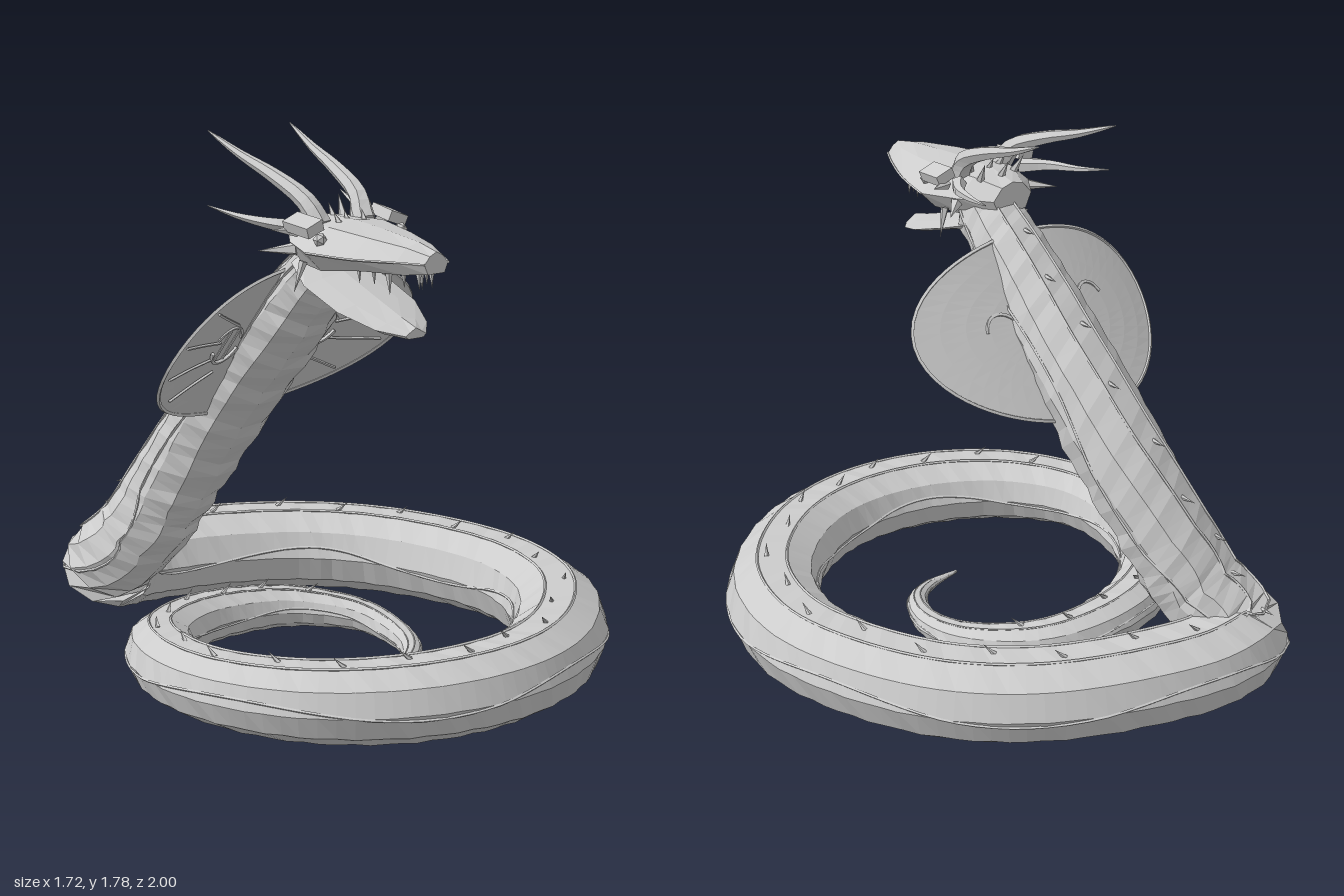
import * as THREE from 'three';

const V = (x, y, z) => new THREE.Vector3(x, y, z);

// Skin a list of equal rings (counter-clockwise seen from the end) and cap both ends
function loft(rings) {
  const n = rings[0].length, pos = rings.flat().flatMap(p => [p.x, p.y, p.z]), idx = [];
  const last = (rings.length - 1) * n;
  for (let i = 0; i < rings.length - 1; i++) {
    for (let j = 0; j < n; j++) {
      const a = i * n + j, b = i * n + (j + 1) % n;
      idx.push(a, b, b + n, a, b + n, a + n);
    }
  }
  for (let j = 1; j < n - 1; j++) idx.push(0, j + 1, j, last, last + j, last + j + 1);
  const g = new THREE.BufferGeometry();
  g.setAttribute('position', new THREE.Float32BufferAttribute(pos, 3));
  g.setIndex(idx);
  g.computeVertexNormals();
  return g;
}

function frameAt(curve, t) {
  const P = curve.getPoint(t), T = curve.getTangent(t);
  const N = V(0, 1, 0).addScaledVector(T, -T.y).normalize();
  return { P, T, N, S: N.clone().cross(T) };
}

// Tapering tube along a curve
function sweep(points, steps, sides, radius) {
  const curve = new THREE.CatmullRomCurve3(points), rings = [];
  for (let i = 0; i <= steps; i++) {
    const t = i / steps, { P, S, N } = frameAt(curve, t), r = radius(t);
    rings.push(Array.from({ length: sides }, (_, j) => {
      const a = j / sides * Math.PI * 2;
      return P.clone().addScaledVector(S, Math.cos(a) * r).addScaledVector(N, Math.sin(a) * r);
    }));
  }
  return loft(rings);
}

// Serpent path from tail tip to nape: x, y, z, radius
const PATH = [
  [-.17, .035, .34, .006], [-.04, .035, .36, .02], [.09, .045, .32, .033], [.19, .05, .2, .047],
  [.23, .07, .01, .058], [.13, .085, -.21, .075], [-.06, .095, -.32, .088], [-.27, .105, -.345, .097],
  [-.5, .115, -.27, .11], [-.67, .13, -.06, .12], [-.73, .14, .18, .125], [-.66, .14, .45, .135],
  [-.48, .14, .67, .143], [-.25, .14, .8, .148], [-.02, .14, .84, .15], [.23, .14, .79, .155],
  [.49, .145, .63, .16], [.65, .15, .38, .16], [.69, .155, .1, .162], [.64, .16, -.22, .163],
  [.5, .165, -.47, .164], [.25, .17, -.69, .166], [.02, .172, -.81, .168], [-.13, .195, -.82, .17],
  [-.115, .34, -.68, .163], [-.09, .51, -.57, .16], [-.08, .72, -.42, .158], [-.105, .95, -.23, .15],
  [-.15, 1.15, -.04, .14], [-.19, 1.32, .12, .12], [-.23, 1.44, .25, .1],
];
const SPINE = new THREE.CatmullRomCurve3(PATH.map(p => V(p[0], p[1], p[2])));
const NECK = 24 / 30, STEPS = 180, FACE = Math.PI / 5;

// Point on the ten-sided skin at path position t and angle a
function skin(t, a, lift = 0) {
  const f = t * (PATH.length - 1), i = Math.min(Math.floor(f), PATH.length - 2);
  const off = a - (Math.floor(a / FACE) + .5) * FACE;
  const r = THREE.MathUtils.lerp(PATH[i][3], PATH[i + 1][3], f - i) * .97 / Math.cos(off) + lift;
  const { P, S, N } = frameAt(SPINE, t);
  return P.addScaledVector(S, Math.cos(a) * r).addScaledVector(N, Math.sin(a) * r * .9);
}

// Point on the forward-curling oval hood, u across and v up
const hoodPoint = (u, v, lift = 0) => V(-.165 + .485 * u, 1.11 + .27 * v, -.085 + .1 * u + .19 * v + .105 * u * u + lift);

export function createModel() {
  const model = new THREE.Group();
  model.name = 'hornedSerpent';
  const grey = new THREE.MeshStandardMaterial({ color: 0xcccccc, flatShading: true, side: THREE.DoubleSide });
  grey.name = 'paleGrey';
  const add = (parent, name, geo) => {
    const o = new THREE.Mesh(geo, grey);
    o.name = name;
    parent.add(o);
    return o;
  };
  const spike = (parent, name, base, dir, r, h) => {
    const o = add(parent, name, new THREE.ConeGeometry(r, h, 5));
    dir.normalize();
    o.quaternion.setFromUnitVectors(V(0, 1, 0), dir);
    o.position.copy(base).addScaledVector(dir, h / 2);
  };

  // Coiled body and raised neck, with stepped belly plates on the neck
  const rings = [];
  for (let i = 0; i <= STEPS; i++) {
    const t = i / STEPS;
    rings.push(Array.from({ length: 10 }, (_, j) => {
      const belly = t > NECK && j > 5 ? (i % 4) * .004 : 0;
      return skin(t, j * FACE, belly + .0025 * Math.sin(i * 2.3 + j * 4.1) * Math.min(1, t * 6));
    }));
  }
  add(model, 'body', loft(rings));

  // Paired back stripes and wavy flank stripes
  const stripe = (name, angle, wave) => {
    const pts = [];
    for (let i = 6; i <= STEPS; i++) {
      const t = i / STEPS;
      pts.push(skin(t, angle + wave * Math.sin(t * 50), .002));
    }
    add(model, name, sweep(pts, STEPS, 4, t => .002 + .003 * Math.min(1, t * 3)));
  };
  for (const s of [-1, 1]) {
    stripe('backStripe', Math.PI / 2 + s * FACE / 2, 0);
    stripe('flankStripe', Math.PI / 2 - s * 1.5, .2);
  }

  // Small spines along the back, leaning toward the tail
  for (let k = 0; k < 34; k++) {
    const t = .16 + k * .0245, { T, N } = frameAt(SPINE, t);
    spike(model, 'backSpine', skin(t, Math.PI / 2 + (k % 2 ? .12 : -.12), -.004), N.addScaledVector(T, -1.1), .009, .05);
  }

  // Hood: curled oval sheet through the neck, with rim, ribs and eye marks
  const hood = new THREE.Group();
  hood.name = 'hood';
  model.add(hood);
  const sheet = new THREE.RingGeometry(.02, 1, 48, 6), sp = sheet.attributes.position;
  for (let i = 0; i < sp.count; i++) {
    const p = hoodPoint(sp.getX(i), sp.getY(i));
    sp.setXYZ(i, p.x, p.y, p.z);
  }
  sheet.computeVertexNormals();
  add(hood, 'hoodSheet', sheet);
  const rim = Array.from({ length: 48 }, (_, i) => hoodPoint(Math.cos(i * Math.PI / 24), Math.sin(i * Math.PI / 24)));
  add(hood, 'hoodRim', new THREE.TubeGeometry(new THREE.CatmullRomCurve3(rim, true), 64, .007, 4, true));
  const cord = (name, uv, r, lift) => add(hood, name, sweep(uv.map(p => hoodPoint(...p, lift)), 10, 4, () => r));
  for (const s of [-1, 1]) {
    for (const a of [-.7, -.25, .2, .65]) {
      cord('hoodRib', [.5, .7, .93].map(d => [s * d * Math.cos(a), d * Math.sin(a)]), .005, .008);
    }
    // Upper arc shows through both faces; the rest sits on the front
    for (const e of [-1, 1]) {
      const arc = Array.from({ length: 7 }, (_, i) => {
        const a = e * (.3 + i * .42);
        return [s * .4 + .125 * Math.cos(a), .04 + .23 * Math.sin(a)];
      });
      cord('hoodMark', arc, .007, e > 0 ? 0 : .011);
      cord('hoodMarkBar', [-.16, .04, .24].map(v => [s * .4 + e * .04, v]), .004, .007);
    }
  }

  // Head frame: local +z runs to the snout
  const head = new THREE.Group();
  head.name = 'head';
  head.position.set(-.22, 1.5, .13);
  head.rotation.y = -.28;
  model.add(head);
  const section = ([z, w, top, mid, bot]) => [
    V(w, mid, z), V(w * .55, top, z), V(0, top + .012, z), V(-w * .55, top, z),
    V(-w, mid, z), V(-w * .7, bot, z), V(w * .7, bot, z),
  ];
  add(head, 'skull', loft([
    [0, .08, .03, -.01, -.06], [.1, .15, .05, -.01, -.08], [.24, .195, .05, -.02, -.08],
    [.4, .15, .038, -.02, -.06], [.54, .09, .025, -.015, -.055], [.62, .045, .008, -.015, -.045],
  ].map(section)));
  add(head, 'lowerJaw', loft([
    [.04, .1, -.06, -.09, -.12], [.18, .155, -.12, -.135, -.15], [.34, .15, -.175, -.19, -.205],
    [.46, .1, -.215, -.23, -.245], [.53, .04, -.235, -.245, -.255],
  ].map(section)));

  for (const s of [-1, 1]) {
    // Teeth, with a long fang on each side
    for (let i = 0; i < 5; i++) {
      const z = .38 + i * .047, fang = i === 2;
      spike(head, fang ? 'fang' : 'tooth', V(s * (.1 - i * .019), -.045, z), V(0, -1, .1), fang ? .014 : .01, fang ? .08 : .055);
    }
    // Brow plates, eyes and lip line
    const brow = add(head, 'browPlate', new THREE.BoxGeometry(.065, .035, .11));
    brow.position.set(s * .165, .055, .19);
    brow.rotation.set(.1, s * -.1, s * -.35);
    add(head, 'eye', new THREE.IcosahedronGeometry(.022, 0)).position.set(s * .155, .02, .26);
    add(head, 'lipLine', sweep([V(s * .195, -.02, .24), V(s * .151, -.02, .4), V(s * .091, -.015, .54), V(s * .046, -.015, .62)], 9, 4, () => .004));
    // Cheek and jaw spikes
    spike(head, 'cheekSpike', V(s * .14, -.03, .12), V(s, -.1, -.9), .022, .12);
    spike(head, 'cheekSpike', V(s * .16, .03, .15), V(s, .1, -.4), .02, .08);
    spike(head, 'jawSpike', V(s * .15, -.06, .17), V(s * .3, -1, -.1), .014, .1);
    // Swept horns, one large and one low pair
    add(head, 'crownHorn', sweep([V(s * .085, .04, .17), V(s * .1, .11, .12), V(s * .12, .175, -.02), V(s * .14, .225, -.17), V(s * .16, .285, -.32)],
      12, 6, t => .002 + .036 * Math.pow(1 - t, .75)));
    add(head, 'sideHorn', sweep([V(s * .13, .035, .12), V(s * .19, .045, .04), V(s * .225, .055, -.07), V(s * .26, .075, -.18)],
      9, 5, t => .002 + .024 * (1 - t)));
  }

  // Crown spikes in three rows
  for (let row = 0; row < 3; row++) {
    for (let k = -1; k <= 1; k++) {
      spike(head, 'crownSpike', V(k * (.07 - row * .012), .045, .06 + row * .07 + Math.abs(k) * .02), V(k * .2, 1, -.6), .014, .075 - row * .014);
    }
  }
  return model;
}
